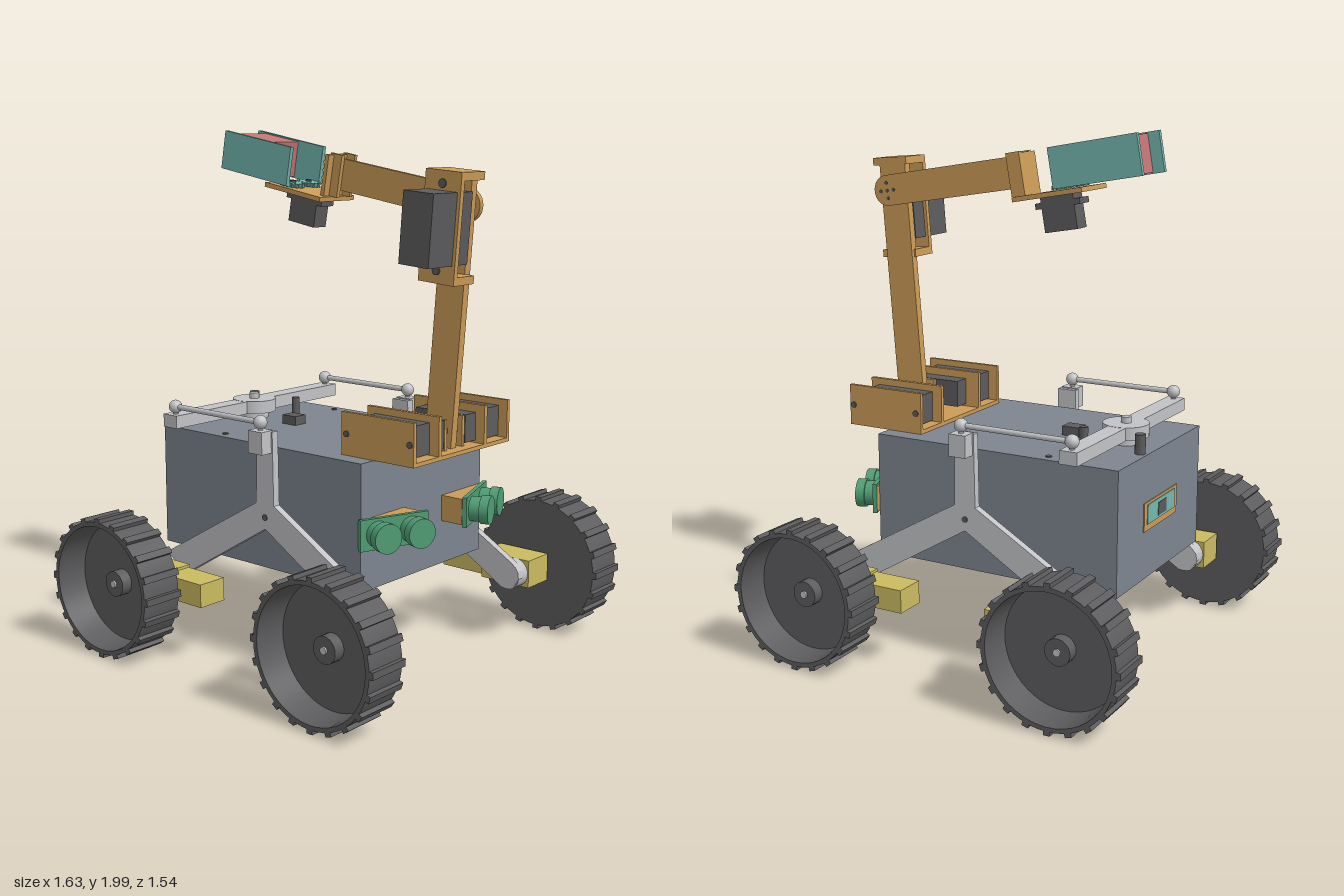
import * as THREE from 'three';
import { toCreasedNormals } from 'three/addons/utils/BufferGeometryUtils.js';

const material = (name, color) => {
  const m = new THREE.MeshStandardMaterial({ color });
  m.name = name;
  return m;
};
const slate = material('slate', 0x7d8590);
const dark = material('dark grey', 0x5c5c5e);
const silver = material('light grey', 0xc2c3c6);
const orange = material('orange', 0xcb9b57);
const yellow = material('yellow', 0xcaba60);
const green = material('green', 0x4f9c74);
const teal = material('teal', 0x74b8b0);
const red = material('red', 0xc47474);

function add(parent, name, geometry, mat) {
  const mesh = new THREE.Mesh(geometry, mat);
  mesh.name = name;
  parent.add(mesh);
  return mesh;
}
function group(parent, name, x = 0, y = 0, z = 0) {
  const g = new THREE.Group();
  g.name = name;
  g.position.set(x, y, z);
  parent.add(g);
  return g;
}
// Box given by its limits on each axis
function box(parent, name, mat, x0, x1, y0, y1, z0, z1) {
  const mesh = add(parent, name, new THREE.BoxGeometry(Math.abs(x1 - x0), y1 - y0, Math.abs(z1 - z0)), mat);
  mesh.position.set((x0 + x1) / 2, (y0 + y1) / 2, (z0 + z1) / 2);
  return mesh;
}
// Cylinder along a chosen axis, centred on a point
function rod(parent, name, mat, r, length, axis, x, y, z, sides = 24) {
  const geo = new THREE.CylinderGeometry(r, r, length, sides);
  if (axis === 'x') geo.rotateZ(-Math.PI / 2);
  if (axis === 'z') geo.rotateX(Math.PI / 2);
  const mesh = add(parent, name, geo, mat);
  mesh.position.set(x, y, z);
  return mesh;
}
function ball(parent, x, y, z) {
  add(parent, 'ballJoint', new THREE.SphereGeometry(0.026, 20, 14), silver).position.set(x, y, z);
}
function extrude(points, depth) {
  const shape = new THREE.Shape(points.map(([x, y]) => new THREE.Vector2(x, y)));
  return new THREE.ExtrudeGeometry(shape, { depth, bevelEnabled: false });
}

// Cup-shaped wheel with cross treads, opening towards local +z
function buildWheel(parent, x, side) {
  const wheel = group(parent, 'wheel', x, 0.275, side * 0.6);
  if (side < 0) wheel.rotation.y = Math.PI;
  const profile = [[0, 0], [0.26, 0], [0.26, 0.17], [0.243, 0.17], [0.232, 0.05], [0, 0.05]]
    .map(([r, h]) => new THREE.Vector2(r, h));
  const geo = new THREE.LatheGeometry(profile, 48).rotateX(Math.PI / 2);
  add(wheel, 'rim', toCreasedNormals(geo, 0.6), dark);
  for (let i = 0; i < 20; i++) {
    const a = (i / 20) * Math.PI * 2;
    const tread = add(wheel, 'tread', new THREE.BoxGeometry(0.026, 0.028, 0.17), dark);
    tread.position.set(Math.sin(a) * 0.261, Math.cos(a) * 0.261, 0.085);
    tread.rotation.z = -a;
  }
  rod(wheel, 'hub', dark, 0.05, 0.05, 'z', 0, 0, 0.07);
  rod(wheel, 'hubBolt', silver, 0.014, 0.02, 'z', 0, 0, 0.092, 12);
  rod(wheel, 'axle', silver, 0.02, 0.03, 'z', 0, 0, -0.012, 16);
}

// Y-shaped suspension arm with its motors and wheels
function buildSide(root, s) {
  const side = group(root, s > 0 ? 'leftSuspension' : 'rightSuspension');
  const half = [[0.04, 0.91], [0.045, 0.63], [0.566, 0.328], [0.592, 0.3], [0.597, 0.27], [0.57, 0.226], [0.52, 0.222]];
  const outline = [...half, [0, 0.535], ...half.map(([x, y]) => [-x, y]).reverse()];
  add(side, 'rocker', extrude(outline, 0.03), silver).position.z = s > 0 ? 0.385 : -0.415;
  rod(side, 'pivot', dark, 0.045, 0.03, 'z', 0, 0.58, s * 0.372);
  rod(side, 'pivotBolt', dark, 0.012, 0.006, 'z', 0, 0.58, s * 0.416, 12);
  box(side, 'rockerTop', silver, -0.035, 0.035, 0.83, 0.915, s * 0.405, s * 0.465);
  rod(side, 'jointPin', silver, 0.01, 0.04, 'y', 0, 0.925, s * 0.435, 12);
  ball(side, 0, 0.945, s * 0.435);
  ball(side, -0.455, 0.945, s * 0.435);
  rod(side, 'tieRod', silver, 0.011, 0.455, 'x', -0.2275, 0.945, s * 0.435, 12);
  for (const e of [-1, 1]) {
    rod(side, 'motorClamp', silver, 0.056, 0.065, 'z', e * 0.54, 0.275, s * 0.42);
    box(side, 'gearbox', yellow, e * 0.375, e * 0.6, 0.22, 0.33, s * 0.45, s * 0.586);
    box(side, 'motor', yellow, e * 0.18, e * 0.375, 0.23, 0.32, s * 0.457, s * 0.58);
    buildWheel(side, e * 0.54, s);
  }
}

// Pair of round sensors on an outward-turned wedge
function buildSensor(root, s) {
  const sensor = group(root, 'rangeSensor');
  const wedge = [[0.42, -s * 0.38], [0.42, -s * 0.115], [0.515, -s * 0.115]];
  if (s < 0) wedge.reverse();
  const bracket = add(sensor, 'sensorBracket', extrude(wedge, 0.1).rotateX(-Math.PI / 2), orange);
  bracket.position.y = 0.533;
  const face = group(sensor, 'sensorFace', 0.475, 0.583, s * 0.247);
  face.rotation.y = -s * 0.35;
  box(face, 'sensorBoard', green, -0.005, 0.012, -0.058, 0.058, -0.142, 0.142);
  for (const e of [-1, 1]) {
    rod(face, 'sensorBarrel', green, 0.048, 0.07, 'x', 0.045, 0, e * 0.07, 32);
    rod(face, 'sensorLens', green, 0.055, 0.035, 'x', 0.07, 0, e * 0.07, 32);
  }
}

// Cradle on the deck that holds two servos and the arm pivot
function buildCradle(root) {
  const cradle = group(root, 'armCradle');
  box(cradle, 'cradleBase', orange, 0.27, 0.6, 0.84, 0.855, -0.29, 0.29);
  for (const s of [-1, 1]) {
    box(cradle, 'outerWall', orange, 0.27, 0.6, 0.84, 1.0, s * 0.277, s * 0.292);
    box(cradle, 'innerWall', orange, 0.27, 0.6, 0.84, 1.0, s * 0.13, s * 0.147);
    box(cradle, 'baseServo', dark, 0.31, 0.56, 0.86, 0.975, s * 0.15, s * 0.277);
    box(cradle, 'servoGearbox', dark, 0.33, 0.56, 0.865, 0.97, s * 0.065, s * 0.13);
    box(cradle, 'pivotTab', orange, 0.43, 0.56, 0.855, 0.97, s * 0.046, s * 0.06);
    rod(cradle, 'servoHorn', dark, 0.04, 0.04, 'z', 0.5, 0.92, s * 0.035);
    for (const x of [0.293, 0.583]) rod(cradle, 'cradleBolt', dark, 0.012, 0.006, 'z', x, 0.92, s * 0.294, 10);
  }
}

function buildArm(root) {
  // Lower link and elbow servo
  const lower = group(root, 'lowerArm', 0.5, 0.92, 0);
  lower.rotation.z = -0.078;
  box(lower, 'lowerLink', orange, -0.06, 0.06, -0.06, 0.92, -0.016, 0.016);
  box(lower, 'elbowTop', orange, -0.066, 0.09, 0.915, 0.945, -0.016, 0.12);
  box(lower, 'elbowBottom', orange, -0.066, 0.09, 0.55, 0.58, 0, 0.12);
  box(lower, 'elbowPlate', orange, -0.066, 0.09, 0.55, 0.945, 0.1, 0.12);
  box(lower, 'elbowServo', dark, -0.053, 0.077, 0.62, 0.875, 0.03, 0.255);
  for (const y of [0.596, 0.9]) rod(lower, 'elbowBolt', dark, 0.016, 0.008, 'z', 0.012, y, 0.122, 12);

  // Upper link with a rounded elbow end
  const upper = group(root, 'upperArm', 0.57, 1.735, -0.045);
  upper.rotation.z = -0.16;
  box(upper, 'upperLink', orange, -0.592, 0, -0.06, 0.06, -0.01, 0.01);
  rod(upper, 'elbowEnd', orange, 0.06, 0.02, 'z', 0, 0, 0, 32);
  rod(upper, 'elbowHorn', silver, 0.04, 0.03, 'z', 0, 0, 0.022);
  for (const [x, y] of [[0, 0], [-0.03, 0], [0.03, 0], [0, 0.03], [0, -0.03]])
    rod(upper, 'hornBolt', dark, 0.007, 0.005, 'z', x, y, -0.011, 8);

  // Wrist and gripper
  const head = group(root, 'gripper', -0.382, 1.888, -0.048);
  head.rotation.z = -0.175;
  box(head, 'wristPlate', orange, 0.065, 0.355, -0.1, -0.082, -0.1, 0.1);
  box(head, 'wristUpright', orange, 0.32, 0.338, -0.1, 0.075, -0.06, 0.06);
  box(head, 'wristFlange', orange, 0.32, 0.377, -0.082, 0.08, 0.013, 0.03);
  box(head, 'wristFlange', orange, 0.32, 0.377, -0.082, 0.08, -0.06, -0.045);
  box(head, 'wristServo', dark, 0.115, 0.25, -0.228, -0.1, -0.077, -0.006);
  box(head, 'servoFlange', dark, 0.09, 0.275, -0.14, -0.118, -0.077, -0.006);
  const teeth = Array.from({ length: 56 }, (_, i) => {
    const a = (i / 56) * Math.PI * 2;
    const r = i % 4 < 2 ? 0.048 : 0.037;
    return [Math.cos(a) * r, Math.sin(a) * r];
  });
  for (const s of [-1, 1]) {
    box(head, 'gripperJaw', teal, -0.18, 0.178, -0.075, 0.075, s * 0.085, s * 0.102);
    const gear = add(head, 'gripperGear', extrude(teeth, 0.016).rotateX(-Math.PI / 2), teal);
    gear.position.set(0.16, -0.08, s * 0.045);
    rod(head, 'gearPin', dark, 0.012, 0.01, 'y', 0.16, -0.062, s * 0.045, 12);
  }
  box(head, 'heldBlock', red, -0.135, 0.045, -0.07, 0.07, -0.085, 0.085);
}

// Cross bar, posts and switch on the deck
function buildDeck(root) {
  const deck = group(root, 'deck');
  rod(deck, 'crossBarPivot', silver, 0.058, 0.03, 'y', -0.455, 0.852, 0, 32);
  rod(deck, 'crossBarHub', silver, 0.088, 0.05, 'y', -0.455, 0.892, 0, 32);
  rod(deck, 'crossBarBolt', silver, 0.02, 0.03, 'y', -0.455, 0.925, 0, 16);
  box(deck, 'crossBar', silver, -0.491, -0.419, 0.866, 0.916, -0.465, 0.465);
  for (const s of [-1, 1]) {
    rod(deck, 'crossBarPin', silver, 0.01, 0.04, 'y', -0.455, 0.925, s * 0.435, 12);
    rod(deck, 'deckBolt', dark, 0.012, 0.006, 'y', -0.3, 0.841, s * 0.32, 12);
  }
  rod(deck, 'post', dark, 0.02, 0.075, 'y', -0.57, 0.877, -0.12, 16);
  rod(deck, 'post', dark, 0.016, 0.075, 'y', -0.345, 0.877, -0.13, 16);
  box(deck, 'switch', dark, -0.27, -0.2, 0.84, 0.876, -0.03, 0.03);
}

export function createModel() {
  const root = new THREE.Group();
  root.name = 'rover';
  box(root, 'body', slate, -0.6, 0.42, 0.365, 0.84, -0.362, 0.362);
  // Port on the rear wall
  box(root, 'portFrame', orange, -0.604, -0.6, 0.55, 0.66, -0.145, 0.145);
  box(root, 'portPanel', teal, -0.607, -0.604, 0.575, 0.65, -0.12, 0.12);
  box(root, 'portSocket', dark, -0.609, -0.607, 0.585, 0.635, -0.03, 0.04);
  for (const s of [-1, 1]) {
    buildSide(root, s);
    buildSensor(root, s);
  }
  buildDeck(root);
  buildCradle(root);
  buildArm(root);
  return root;
}
